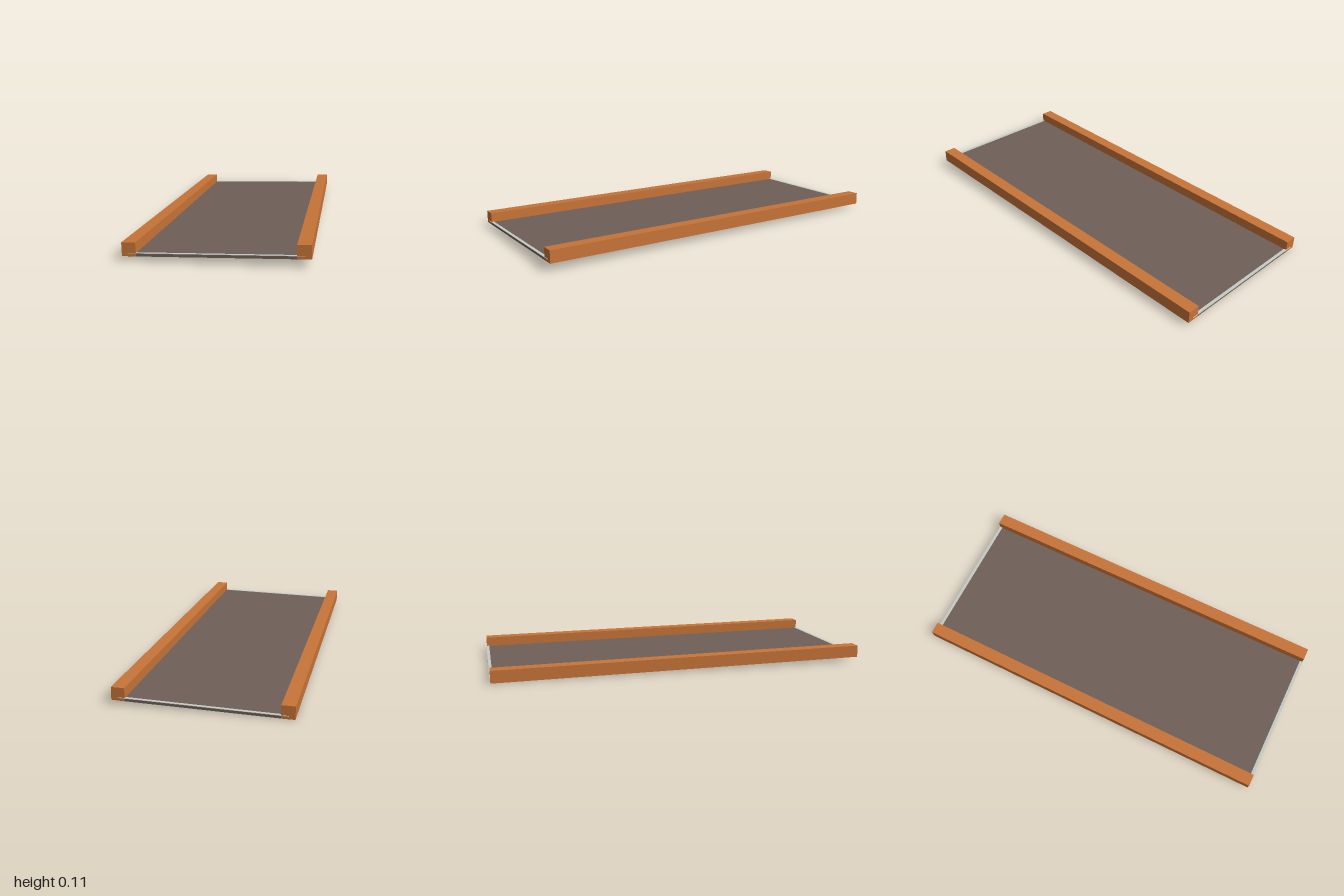
import * as THREE from 'three';

export function createModel() {
  const model = new THREE.Group();
  const brown = new THREE.MeshStandardMaterial({ name: 'brown deck', color: 0x6f6058 });
  const orange = new THREE.MeshStandardMaterial({ name: 'orange wood', color: 0xc77438 });
  const pale = new THREE.MeshStandardMaterial({ name: 'pale trim', color: 0xc6cbc4 });

  // The whole platform leans gently: up towards the front and towards +x
  const platform = new THREE.Group();
  platform.name = 'platform';
  platform.rotation.set(-0.0108, 0, 0.0233);
  platform.position.y = 0.021;
  model.add(platform);

  // Box placed by its bottom centre
  function box(name, material, w, h, d, x, y, z) {
    const mesh = new THREE.Mesh(new THREE.BoxGeometry(w, h, d), material);
    mesh.name = name;
    mesh.position.set(x, y + h / 2, z);
    platform.add(mesh);
  }

  // Thin deck slab running under the rails
  box('deck', brown, 0.8, 0.015, 1.992, 0, 0, 0);

  // Square rails along both long sides
  for (const [name, side] of [['leftRail', 1], ['rightRail', -1]]) {
    box(name, orange, 0.065, 0.064, 1.994, side * 0.396, 0.001, 0);
  }

  // Narrow pale strips across the two ends of the deck
  for (const [name, side] of [['frontEndStrip', 1], ['backEndStrip', -1]]) {
    box(name, pale, 0.8, 0.002, 0.016, 0, 0.0145, side * 0.992);
  }

  return model;
}
